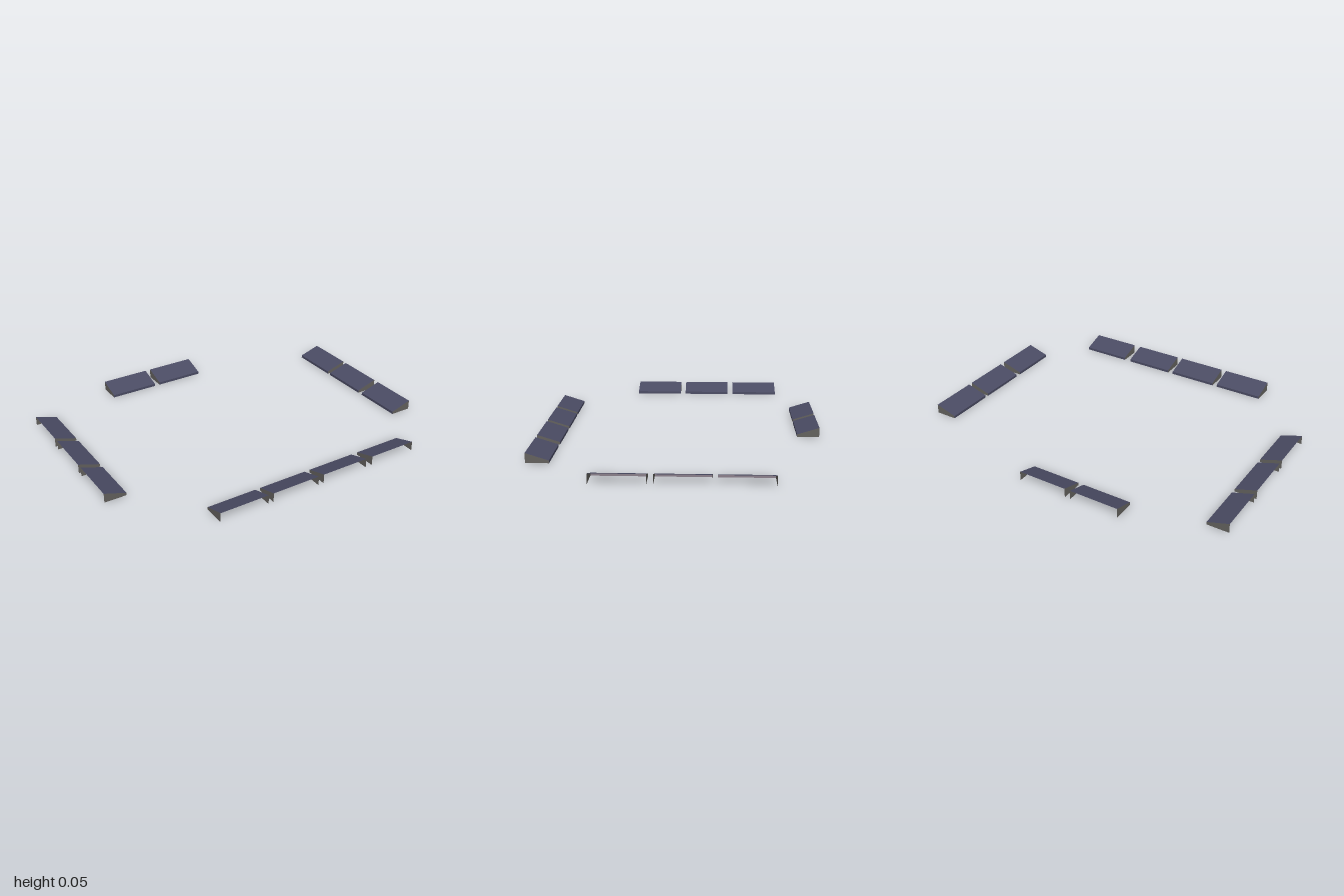
import * as THREE from 'three';

const slate = new THREE.MeshStandardMaterial({ color: 0x4a4b63, side: THREE.DoubleSide });
slate.name = 'slate panel';
const grey = new THREE.MeshStandardMaterial({ color: 0x62605c, side: THREE.DoubleSide });
grey.name = 'grey bracket';
const mauve = new THREE.MeshStandardMaterial({ color: 0x8a7f8a, side: THREE.DoubleSide });
mauve.name = 'mauve lining';

const LENGTH = 0.29, DEPTH = 0.127, HIGH = 0.055, LOW = 0.015, LINING = 0.002;

// flat four-cornered sheet; corners run anticlockwise seen from its front
function sheet(name, corners, material) {
  const geometry = new THREE.BufferGeometry();
  geometry.setAttribute('position', new THREE.Float32BufferAttribute(corners.flat(), 3));
  geometry.setIndex([0, 1, 2, 0, 2, 3]);
  geometry.computeVertexNormals();
  const mesh = new THREE.Mesh(geometry, material);
  mesh.name = name;
  return mesh;
}

// hollow sloping unit: low lip at z = 0, tall open back at z = DEPTH, open below
function createRamp() {
  const ramp = new THREE.Group();
  ramp.name = 'ramp';
  const h = LENGTH / 2;
  ramp.add(sheet('slopingPanel',
    [[-h, LOW, 0], [-h, HIGH, DEPTH], [h, HIGH, DEPTH], [h, LOW, 0]], slate));
  ramp.add(sheet('lowLip', [[-h, 0, 0], [-h, LOW, 0], [h, LOW, 0], [h, 0, 0]], slate));
  // pale inner face of the lip, seen through the open back
  ramp.add(sheet('lipLining',
    [[h, 0, LINING], [h, LOW, LINING], [-h, LOW, LINING], [-h, 0, LINING]], mauve));
  ramp.add(sheet('leftCheek',
    [[h, 0, 0], [h, LOW, 0], [h, HIGH, DEPTH], [h, 0, DEPTH]], grey));
  ramp.add(sheet('rightCheek',
    [[-h, 0, DEPTH], [-h, HIGH, DEPTH], [-h, LOW, 0], [-h, 0, 0]], grey));
  return ramp;
}

// each row: turn about y, distance of the low lip from the centre, unit centres along the row
const rows = [
  { name: 'frontRow', turn: 0, lip: 0.67, centres: [-0.436, -0.115, 0.209, 0.542] },
  { name: 'backRow', turn: Math.PI, lip: 0.67, centres: [0.318, -0.005] },
  { name: 'leftRow', turn: Math.PI / 2, lip: 0.873, centres: [0.358, 0.043, -0.281] },
  { name: 'rightRow', turn: -Math.PI / 2, lip: 0.873, centres: [-0.461, -0.136, 0.188] },
];

export function createModel() {
  const model = new THREE.Group();
  model.name = 'rampRing';
  for (const { name, turn, lip, centres } of rows) {
    const row = new THREE.Group();
    row.name = name;
    for (const x of centres) {
      const ramp = createRamp();
      ramp.position.set(x, 0, lip);
      row.add(ramp);
    }
    row.rotation.y = turn;
    model.add(row);
  }
  return model;
}
